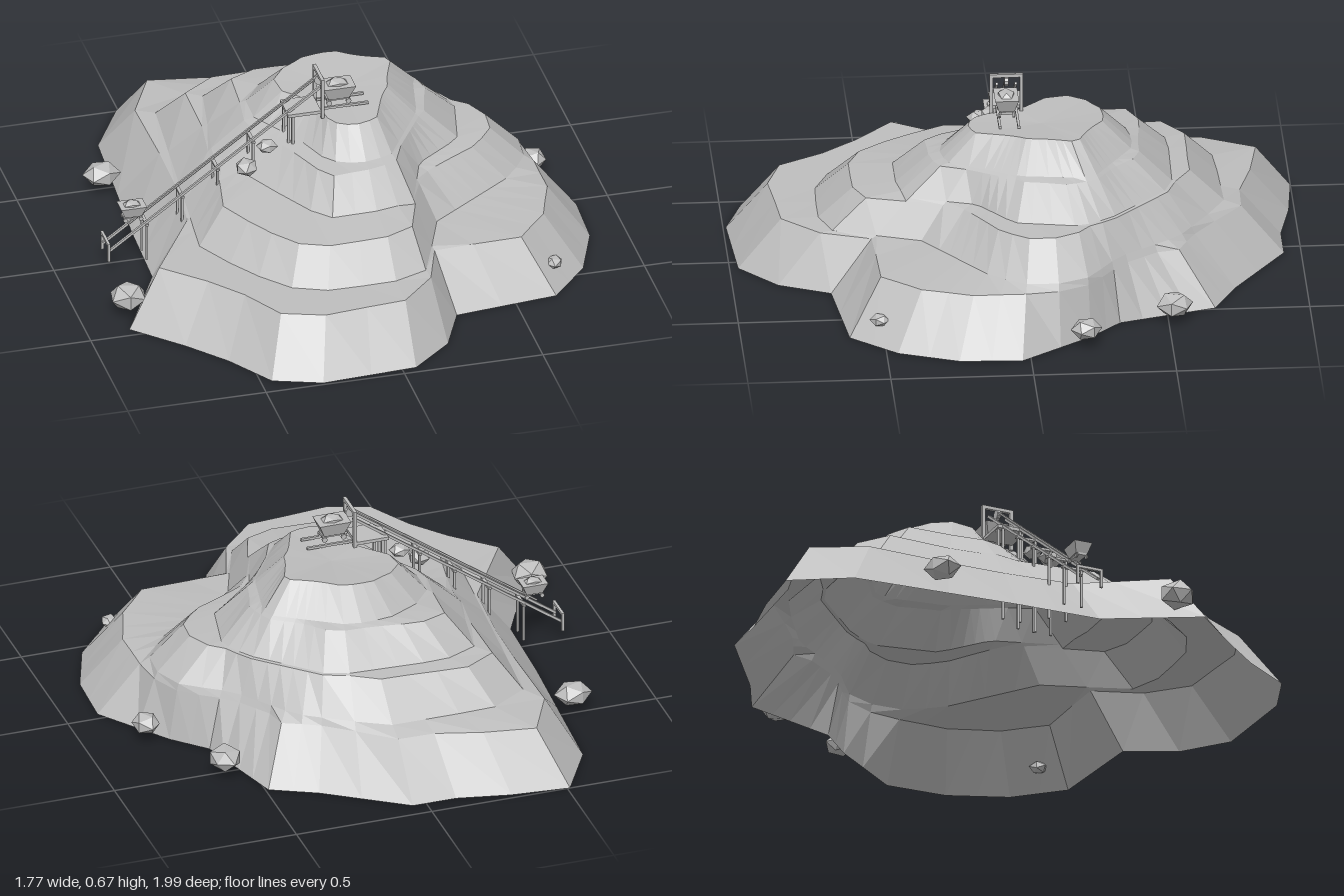
import * as THREE from 'three';

const stone = new THREE.MeshStandardMaterial({ color: 0xbebebe, flatShading: true, side: THREE.DoubleSide });
stone.name = 'grey stone';

// centre of the hill in plan
const CX = 0.06, CZ = -0.09;

// foot outline of each tier, as x, z pairs
const ground = [-.51, -1, -.3, -.98, -.11, -.94, .05, -.94, .33, -.75, .49, -.67, .54, -.5, .59, -.33, .7, -.22, .88, .03, .87, .25,
  .79, .46, .65, .62, .28, .66, .2, .84, .05, .97, -.29, .99, -.46, .93, -.57, .76, -.69, .62, -.85, .46, -.68, .13, -.67, -.18, -.63, -.79];
const second = [-.46, -.69, -.3, -.72, .07, -.73, .35, -.55, .5, -.33, .69, -.2, .72, -.03, .62, .12, .27, .36, .2, .62,
  .13, .69, -.18, .69, -.34, .62, -.55, .3, -.5, -.25];
const third = [-.33, -.5, -.2, -.55, .2, -.54, .44, -.31, .5, -.2, .45, .03, .28, .15, .2, .38, .1, .42, -.13, .42, -.25, .2, -.4, -.1];
const fourth = [-.22, -.3, -.05, -.4, .1, -.41, .36, -.25, .31, 0, .15, .25, .03, .27, -.07, .22, -.13, .06, -.27, -.17];

// each tier rises from foot to rim while its outline shrinks by up to inset
const tiers = [
  { outline: ground, foot: 0, rim: 0.187, inset: 0.15, tilt: 0 },
  { outline: second, foot: 0.2, rim: 0.315, inset: 0.12, tilt: 0.025 },
  { outline: third, foot: 0.325, rim: 0.428, inset: 0.115, tilt: 0.025 },
  { outline: fourth, foot: 0.437, rim: 0.533, inset: 0.1, tilt: 0.045 },
];

// distance from the hill centre to an outline along a direction
function reach(p, dx, dz) {
  let best = 0;
  for (let i = 0; i < p.length; i += 2) {
    const j = (i + 2) % p.length;
    const ax = p[i] - CX, az = p[i + 1] - CZ, ex = p[j] - p[i], ez = p[j + 1] - p[i + 1];
    const den = dx * ez - dz * ex;
    if (Math.abs(den) < 1e-9) continue;
    const t = (ax * ez - az * ex) / den, s = (ax * dz - az * dx) / den;
    if (t > 0 && s > -1e-6 && s < 1 + 1e-6) best = Math.max(best, t);
  }
  return best;
}

function add(parent, geometry, name, x = 0, y = 0, z = 0) {
  const m = new THREE.Mesh(geometry, stone);
  m.name = name;
  m.position.set(x, y, z);
  parent.add(m);
  return m;
}
const box = (parent, name, w, h, d, x, y, z) => add(parent, new THREE.BoxGeometry(w, h, d), name, x, y, z);

// faceted strip between two loops of points
function strip(parent, name, lo, hi) {
  const v = [];
  lo.forEach((a, i) => {
    const j = (i + 1) % lo.length;
    v.push(...a, ...hi[i], ...hi[j], ...a, ...hi[j], ...lo[j]);
  });
  const g = new THREE.BufferGeometry();
  g.setAttribute('position', new THREE.Float32BufferAttribute(v, 3));
  g.computeVertexNormals();
  add(parent, g, name);
}

// slopes and terraces, open underneath
function makeHill() {
  const hill = new THREE.Group();
  hill.name = 'terracedHill';
  // one ray through each ground corner, and one between wide neighbours
  const corners = [];
  for (let i = 0; i < ground.length; i += 2) corners.push(Math.atan2(ground[i + 1] - CZ, ground[i] - CX));
  corners.sort((a, b) => a - b);
  const angles = corners.flatMap((a, i) => {
    const b = i + 1 < corners.length ? corners[i + 1] : corners[0] + Math.PI * 2;
    return b - a > 0.22 ? [a, (a + b) / 2] : [a];
  });
  const reaches = tiers.map((t) => angles.map((a) => reach(t.outline, Math.cos(a), Math.sin(a))));
  const loop = (radii, y, tilt) => angles.map((a, i) => {
    const x = CX + Math.cos(a) * radii[i], z = CZ + Math.sin(a) * radii[i];
    return [x, y + tilt * (x - z), z];
  });
  let radii = angles.map(() => 2), below = null;
  tiers.forEach((t, k) => {
    radii = reaches[k].map((r, i) => Math.min(r, radii[i] - 0.006));
    const foot = loop(radii, t.foot, t.tilt * 0.6);
    if (below) strip(hill, 'terrace', below, foot);
    radii = radii.map((r, i) => {
      const ledge = k + 1 < tiers.length ? reaches[k + 1][i] + 0.012 : 0;
      return Math.min(r - 0.03, Math.max(r - t.inset, ledge));
    });
    below = loop(radii, t.rim, t.tilt);
    strip(hill, 'slope', foot, below);
  });
  strip(hill, 'summit', below, angles.map(() => [CX, 0.53, CZ]));
  return hill;
}

// square bar between two points
function bar(parent, name, a, b, t = 0.009) {
  const A = new THREE.Vector3(...a), B = new THREE.Vector3(...b);
  const m = add(parent, new THREE.BoxGeometry(t, t, A.distanceTo(B)), name);
  m.position.lerpVectors(A, B, 0.5);
  m.lookAt(B);
}

// lumpy boulder
function boulder(parent, x, y, z, r, turn) {
  const g = new THREE.IcosahedronGeometry(r, 0), p = g.attributes.position;
  for (let i = 0; i < p.count; i++) {
    const s = 1 + 0.1 * Math.sin(p.getX(i) / r * 5 + turn * 3) * Math.cos(p.getZ(i) / r * 4 + turn);
    p.setXYZ(i, p.getX(i) * s * 1.08, p.getY(i) * s * 0.75, p.getZ(i) * s);
  }
  g.computeVertexNormals();
  add(parent, g, 'boulder', x, y, z).rotation.y = turn;
}

// flared ore cart with a heap of ore, standing on four small wheels
function makeCart(x, y, z) {
  const cart = new THREE.Group();
  cart.name = 'oreCart';
  const tub = new THREE.CylinderGeometry(0.082, 0.052, 0.05, 4, 1).rotateY(Math.PI / 4).scale(1, 1, 0.72);
  add(cart, tub, 'tub', 0, 0.048, 0);
  add(cart, new THREE.IcosahedronGeometry(0.038, 0).scale(1.1, 0.5, 0.85), 'ore', 0, 0.073, 0);
  box(cart, 'chassis', 0.085, 0.01, 0.04, 0, 0.02, 0);
  for (const sx of [-1, 1]) for (const sz of [-1, 1])
    add(cart, new THREE.CylinderGeometry(0.01, 0.01, 0.008, 8).rotateX(Math.PI / 2), 'wheel', sx * 0.035, 0.01, sz * 0.024);
  cart.position.set(x, y, z);
  return cart;
}

// inclined track with posts, gantry and platform
function makeIncline() {
  const g = new THREE.Group();
  g.name = 'inclineTrack';
  const zc = 0.025, yAt = (x) => 0.66 + (x + 0.05) * 0.72;
  for (const s of [-1, 1]) {
    const z = zc + s * 0.033;
    bar(g, 'rail', [-0.82, yAt(-0.82) - 0.025, z], [-0.05, yAt(-0.05) - 0.025, z]);
    for (let x = -0.68; x < -0.1; x += 0.128) {
      const top = yAt(x) - 0.025;
      bar(g, 'post', [x, top, z], [x, Math.max(0.03, top - 0.36), z], 0.008);
    }
    box(g, 'gantryLeg', 0.012, 0.15, 0.012, -0.05, 0.595, zc + s * 0.053);
    box(g, 'lowerFrameLeg', 0.01, 0.07, 0.01, -0.82, 0.085, zc + s * 0.045);
    bar(g, 'summitRail', [-0.05, 0.545, z], [0.12, 0.545, z]);
    box(g, 'platformLeg', 0.01, 0.12, 0.01, -0.155, 0.485, zc + s * 0.045);
  }
  bar(g, 'haulCable', [-0.74, yAt(-0.74), zc], [-0.05, yAt(-0.05), zc], 0.006);
  for (let x = -0.68; x < -0.1; x += 0.128) box(g, 'sleeper', 0.012, 0.008, 0.085, x, yAt(x) - 0.034, zc);
  box(g, 'gantryBeam', 0.012, 0.012, 0.118, -0.05, 0.667, zc);
  add(g, new THREE.CylinderGeometry(0.018, 0.018, 0.014, 10).rotateX(Math.PI / 2), 'pulley', -0.05, 0.645, zc);
  box(g, 'lowerFrameBeam', 0.01, 0.01, 0.1, -0.82, 0.115, zc);
  box(g, 'platform', 0.12, 0.012, 0.11, -0.115, 0.543, zc);
  return g;
}

export function createModel() {
  const model = new THREE.Group();
  model.name = 'terracedQuarry';
  model.add(makeHill(), makeIncline(), makeCart(0.015, 0.55, 0.03));
  const lowCart = makeCart(-0.725, 0.182, 0.025);
  lowCart.scale.setScalar(0.8);
  model.add(lowCart);
  // loose boulders
  boulder(model, -0.7, 0.07, -0.485, 0.063, 0.4);
  boulder(model, 0.6, 0.07, -0.52, 0.06, 1.3);
  boulder(model, 0.78, 0.07, -0.2, 0.05, 2.2);
  boulder(model, -0.825, 0.075, 0.36, 0.064, 3);
  boulder(model, 0.67, 0.075, 0.515, 0.032, 0.9);
  boulder(model, -0.33, 0.375, 0.1, 0.042, 1.8);
  boulder(model, -0.25, 0.43, 0.07, 0.035, 0.2);
  return model;
}
